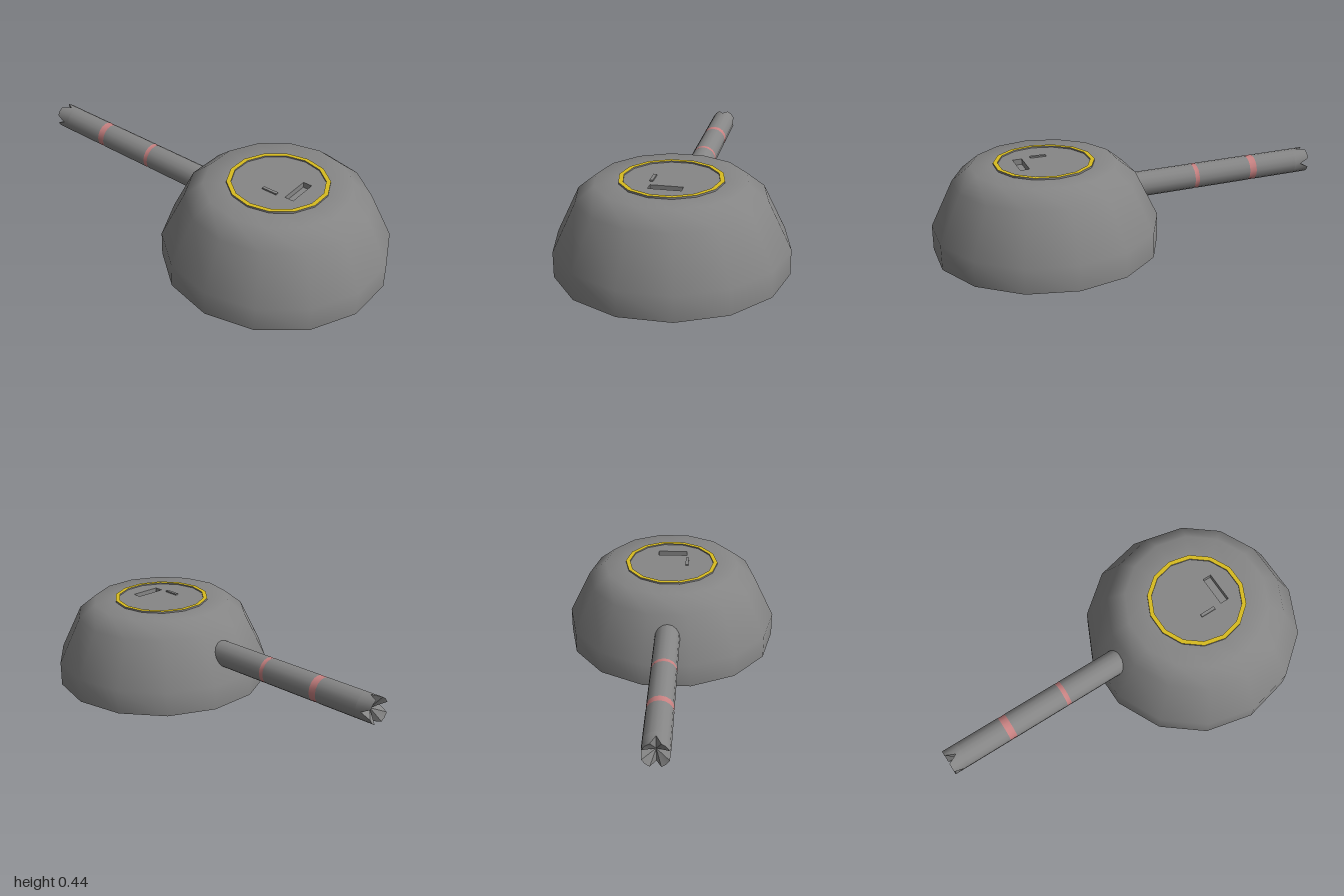
import * as THREE from 'three';
import { toCreasedNormals } from 'three/addons/utils/BufferGeometryUtils.js';

const darkGrey = new THREE.MeshStandardMaterial({ color: 0x868686 });
const yellow = new THREE.MeshStandardMaterial({ color: 0xd8bc20 });
const pink = new THREE.MeshStandardMaterial({ color: 0xc88282 });

const DOME_SIDES = 14;
const BARREL_SIDES = 16;

function addMesh(parent, name, geometry, material = darkGrey) {
  const mesh = new THREE.Mesh(geometry, material);
  mesh.name = name;
  parent.add(mesh);
  return mesh;
}

// Profile of [radius, height] pairs turned around the y axis
function turned(points, sides, start = 0) {
  return new THREE.LatheGeometry(points.map(([r, y]) => new THREE.Vector2(r, y)), sides, start);
}

const domePart = (points) => turned(points, DOME_SIDES, Math.PI / 2);
const barrelPart = (points) => turned(points, BARREL_SIDES);

// Many-sided plate pierced by a rectangular slot
function lidGeometry(radius, depth) {
  const corners = [];
  for (let i = 0; i < DOME_SIDES; i++) {
    const a = (i / DOME_SIDES) * Math.PI * 2;
    corners.push(new THREE.Vector2(Math.cos(a) * radius, Math.sin(a) * radius));
  }
  const shape = new THREE.Shape(corners);
  const slot = [[-0.08, -0.092], [0.075, -0.092], [0.075, -0.138], [-0.08, -0.138]];
  shape.holes.push(new THREE.Path(slot.map(([x, y]) => new THREE.Vector2(x, y))));
  return new THREE.ExtrudeGeometry(shape, { depth, bevelEnabled: false }).rotateX(-Math.PI / 2);
}

function buildDome() {
  const dome = new THREE.Group();
  dome.name = 'turret';
  addMesh(dome, 'turretShell', domePart([[0.562, 0], [0.562, 0.125], [0.45, 0.357], [0.36, 0.43], [0.24, 0.43]]));
  addMesh(dome, 'turretBase', domePart([[0, 0], [0.562, 0]]));

  // Round hatch with a painted rim
  addMesh(dome, 'hatchSide', domePart([[0.248, 0.428], [0.248, 0.439]]));
  addMesh(dome, 'hatchRim', domePart([[0.248, 0.439], [0.226, 0.439]]), yellow);
  addMesh(dome, 'hatchInnerWall', domePart([[0.226, 0.439], [0.226, 0.432]]));

  // Lid with a sunken slot and a small raised handle
  addMesh(dome, 'hatchLid', lidGeometry(0.226, 0.03)).position.y = 0.402;
  const slotFloor = addMesh(dome, 'hatchSlotFloor', new THREE.BoxGeometry(0.17, 0.01, 0.06));
  slotFloor.position.set(0, 0.399, 0.115);
  const handle = addMesh(dome, 'hatchHandle', new THREE.BoxGeometry(0.016, 0.012, 0.08));
  handle.position.set(-0.084, 0.433, 0.01);
  return dome;
}

// End piece: a cone-bottomed tip with four V-shaped cuts
function muzzleGeometry(r, from, to, depth) {
  const geometry = barrelPart([[r, from], [r, to], [0, to - depth]]);
  const p = geometry.attributes.position;
  for (let i = 0; i <= BARREL_SIDES; i += 4) {
    p.setY(i * 3 + 1, to - depth);
  }
  return toCreasedNormals(geometry, 0.6);
}

function buildBarrel() {
  const barrel = new THREE.Group();
  barrel.name = 'barrel';
  const r = 0.065;
  const bands = [[0.335, 0.358], [0.65, 0.688]];
  const muzzleStart = 0.92;

  // Plain tube sections separated by very shallow painted grooves
  let start = -0.12;
  for (const [from, to] of bands) {
    addMesh(barrel, 'barrelSection', barrelPart([[r, start], [r, from]]));
    addMesh(barrel, 'barrelBand', barrelPart([[r, from], [r - 0.0015, (from + to) / 2], [r, to]]), pink);
    start = to;
  }
  addMesh(barrel, 'barrelSection', barrelPart([[r, start], [r, muzzleStart]]));
  addMesh(barrel, 'muzzle', muzzleGeometry(r, muzzleStart, 1, 0.05));

  // Lay the barrel towards the back, rising slightly
  for (const part of barrel.children) part.geometry.rotateX(-Math.PI / 2);
  barrel.rotation.x = 0.0195;
  barrel.position.y = 0.249;
  return barrel;
}

export function createModel() {
  const model = new THREE.Group();
  model.name = 'gunTurret';
  const dome = buildDome();
  dome.position.z = 0.452;
  model.add(dome, buildBarrel());
  return model;
}
